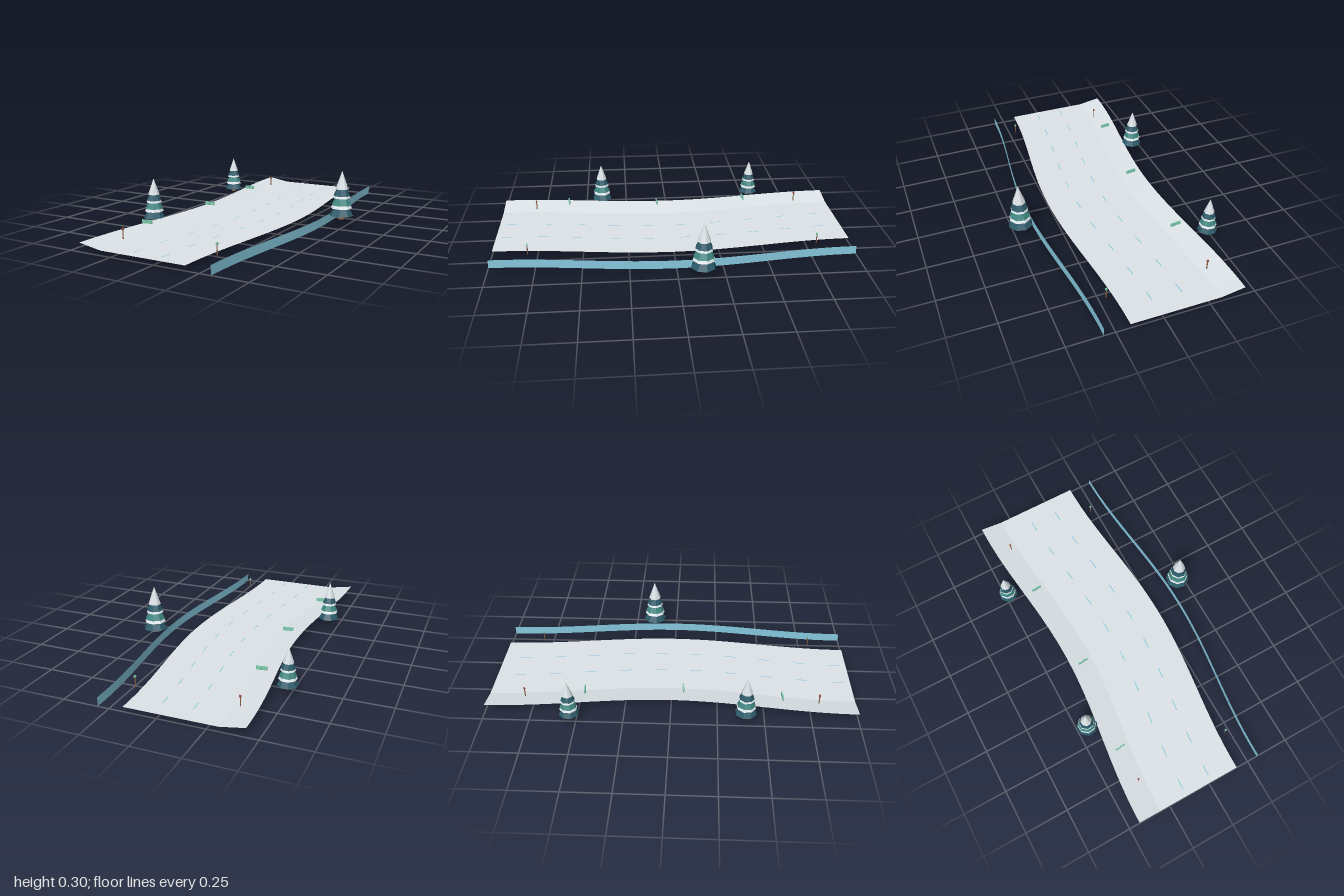
import * as THREE from 'three';

const mat = (name, color, side = THREE.FrontSide) => {
  const m = new THREE.MeshStandardMaterial({ color, side });
  m.name = name;
  return m;
};

// Sideways bend shared by the slope, the wall and the track marks
const bend = (z) => 0.04 * (1 + Math.cos(Math.PI * z));

// Sweeps an open profile of [x, y] points along z, following the bend
function ribbon(profile, z0, z1, steps) {
  const pos = [], index = [], n = profile.length;
  for (let i = 0; i <= steps; i++) {
    const z = z0 + ((z1 - z0) * i) / steps;
    for (const [x, y] of profile) pos.push(x + bend(z), y, z);
  }
  for (let i = 0; i < steps; i++) {
    for (let j = 0; j < n - 1; j++) {
      const a = i * n + j, b = a + n;
      index.push(a, b, a + 1, a + 1, b, b + 1);
    }
  }
  const g = new THREE.BufferGeometry();
  g.setAttribute('position', new THREE.Float32BufferAttribute(pos, 3));
  g.setIndex(index);
  return faceted(g);
}

// Gives every face its own flat normal
function faceted(geometry) {
  const g = geometry.index ? geometry.toNonIndexed() : geometry;
  g.computeVertexNormals();
  return g;
}

export function createModel() {
  const model = new THREE.Group();
  model.name = 'snowySlope';

  const snow = mat('snow', 0xdce3e7, THREE.DoubleSide);
  const ice = mat('iceBlue', 0x86c8de, THREE.DoubleSide);
  const darkPine = mat('darkPine', 0x2c5a69);
  const greenPine = mat('greenPine', 0x3f8580);
  const bark = mat('bark', 0x8a5f45);
  const mint = mat('mint', 0x7fcbae);
  const rust = mat('rust', 0xa0523d);

  const add = (parent, name, geometry, material, x = 0, y = 0, z = 0) => {
    const mesh = new THREE.Mesh(geometry, material);
    mesh.name = name;
    mesh.position.set(x, y, z);
    parent.add(mesh);
    return mesh;
  };

  // Slope with a raised bank along one edge
  add(model, 'slope', ribbon([[-0.44, 0.047], [-0.31, 0.025], [0.175, 0.025]], -1, 1, 28), snow);

  // Thin ice wall beside the slope
  add(model, 'iceWall', ribbon([[0.31, 0.048], [0.31, 0]], -1, 1, 28), ice);

  // Two rows of track marks
  for (const x of [-0.147, 0.013]) {
    for (let i = 0; i < 10; i++) {
      const z = -0.87 + i * 0.2;
      add(model, 'trackMark', ribbon([[x, 0.028], [x + 0.005, 0.028]], z - 0.032, z + 0.032, 2), ice);
    }
  }

  // Trees, modelled one unit tall: [name, base height, radius, tip height, material]
  const tiers = [
    ['lowerBranches', 0.08, 0.247, 0.5, darkPine],
    ['lowerSnow', 0.236, 0.22, 0.58, snow],
    ['middleBranches', 0.3, 0.207, 0.68, greenPine],
    ['middleSnow', 0.444, 0.18, 0.76, snow],
    ['upperBranches', 0.49, 0.17, 0.85, darkPine],
    ['snowTip', 0.625, 0.132, 1, snow],
  ];
  const trees = [
    [0.457, -0.135, 0.275, 0.2],
    [-0.44, 0.4, 0.24, 0.5],
    [-0.48, -0.535, 0.22, 0.35],
  ];
  for (const [x, z, height, turn] of trees) {
    const tree = new THREE.Group();
    tree.name = 'tree';
    add(tree, 'trunk', faceted(new THREE.CylinderGeometry(0.055, 0.065, 0.14, 8)), bark, 0, 0.07, 0);
    for (const [name, base, radius, tip, material] of tiers) {
      const cone = faceted(new THREE.ConeGeometry(radius, tip - base, 8));
      add(tree, name, cone, material, 0, (base + tip) / 2, 0);
    }
    tree.position.set(x, 0.025, z);
    tree.scale.setScalar(height);
    tree.rotation.y = turn;
    model.add(tree);
  }

  // Floating banner panels over the bank, each of two slightly angled halves
  for (const [x, z] of [[-0.32, -0.47], [-0.289, 0.065], [-0.337, 0.6]]) {
    const banner = new THREE.Group();
    banner.name = 'banner';
    for (const side of [-1, 1]) {
      add(banner, 'bannerPanel', new THREE.BoxGeometry(0.029, 0.02, 0.006), mint, side * 0.0145, 0, -side * 0.002);
    }
    banner.position.set(x, 0.075, z);
    model.add(banner);
  }

  // Marker poles at the corners
  for (const [x, cap] of [[-0.335, rust], [0.218, mint]]) {
    for (const z of [-0.8, 0.8]) {
      const marker = new THREE.Group();
      marker.name = 'marker';
      add(marker, 'pole', new THREE.CylinderGeometry(0.003, 0.003, 0.055, 6), bark, 0, 0.0275, 0);
      add(marker, 'poleCap', new THREE.BoxGeometry(0.01, 0.011, 0.008), cap, 0, 0.057, 0);
      marker.position.set(x, 0.025, z);
      model.add(marker);
    }
  }

  return model;
}
